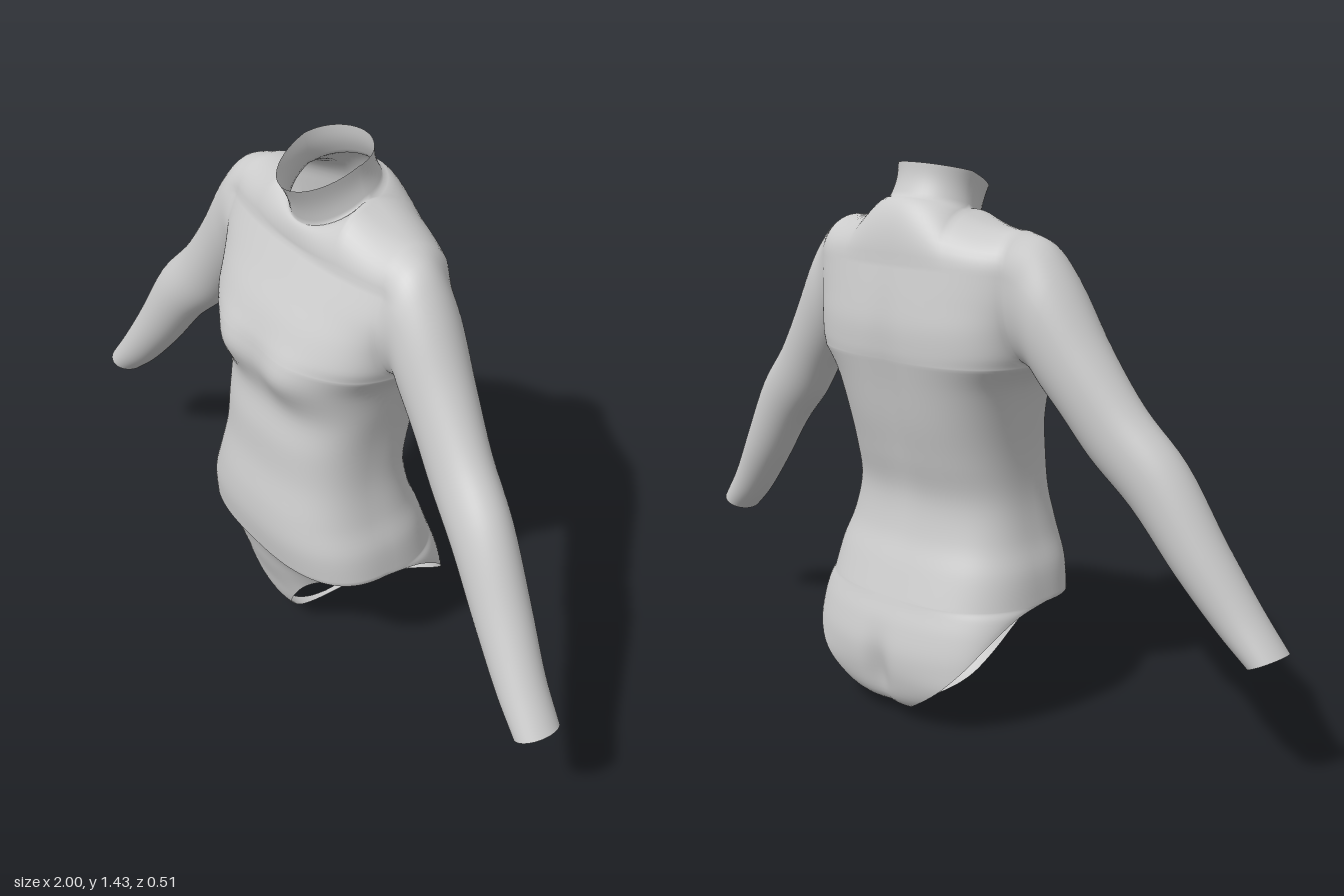
import * as THREE from 'three';
import { mergeVertices } from 'three/addons/utils/BufferGeometryUtils.js';

const U = 48; // segments across a panel
const lerp = THREE.MathUtils.lerp;

// Smooth rows through the knots of a table; passes exactly through both ends
function sample(table, per) {
  const rows = [];
  const at = i => table[Math.min(Math.max(i, 0), table.length - 1)];
  for (let i = 0; i < table.length - 1; i++) {
    for (let k = i ? 1 : 0; k <= per; k++) {
      const t = k / per, t2 = t * t, t3 = t2 * t;
      rows.push(at(i).map((b, c) => {
        const a = at(i - 1)[c], d = at(i + 1)[c], e = at(i + 2)[c];
        return b * (2 * t3 - 3 * t2 + 1) + d * (3 * t2 - 2 * t3)
          + (d - a) / 2 * (t3 - 2 * t2 + t) + (e - b) / 2 * (t3 - t2);
      }));
    }
  }
  return rows;
}

// Lower panels: y, half width, z at centre, z at edge, arc in degrees
const lowerFront = [
  [0.008, 0.008, 0, 0, 30], [0.015, 0.012, 0.06, 0.06, 30], [0.04, 0.025, 0.115, 0.112, 30],
  [0.1, 0.055, 0.165, 0.16, 30], [0.18, 0.105, 0.19, 0.18, 40], [0.25, 0.16, 0.215, 0.18, 50],
  [0.3, 0.22, 0.23, 0.165, 60], [0.33, 0.285, 0.24, 0.12, 75], [0.34, 0.33, 0.245, 0.04, 90],
];
const lowerBack = [
  [0.008, 0.008, 0, 0, 30], [0.012, 0.012, -0.08, -0.08, 30], [0.025, 0.035, -0.16, -0.155, 30],
  [0.06, 0.1, -0.225, -0.215, 40], [0.13, 0.2, -0.25, -0.23, 50], [0.2, 0.265, -0.255, -0.2, 60],
  [0.27, 0.305, -0.24, -0.14, 70], [0.32, 0.325, -0.222, -0.06, 80], [0.34, 0.33, -0.215, 0.04, 90],
];
// Trunk and yoke: y, half width, front z, front edge z, back edge z, back z, arc
const trunk = [
  [0.34, 0.33, 0.245, 0.04, 0.04, -0.215, 90], [0.42, 0.315, 0.255, 0.04, 0.04, -0.185, 90],
  [0.5, 0.285, 0.25, 0.04, 0.04, -0.155, 90], [0.6, 0.262, 0.23, 0.04, 0.04, -0.142, 90],
  [0.7, 0.258, 0.22, 0.03, 0.03, -0.165, 90], [0.8, 0.268, 0.203, 0.02, 0.02, -0.19, 90],
  [0.9, 0.288, 0.225, -0.01, -0.01, -0.21, 90], [0.96, 0.325, 0.222, -0.02, -0.02, -0.222, 90],
];
const yoke = [
  [0.96, 0.325, 0.222, -0.02, -0.02, -0.222, 90], [0.99, 0.325, 0.215, 0.055, -0.08, -0.225, 80],
  [1.05, 0.32, 0.19, 0.085, -0.115, -0.225, 70], [1.12, 0.315, 0.15, 0.09, -0.13, -0.215, 60],
  [1.2, 0.31, 0.105, 0.065, -0.13, -0.2, 55],
];
// Sleeve rings: top x, y, bottom x, y, centre z, z radius
const sleeve = [
  [0.36, 1.265, 0.345, 0.95, -0.015, 0.1], [0.42, 1.2, 0.38, 0.905, -0.01, 0.095],
  [0.52, 1.04, 0.43, 0.845, 0, 0.085], [0.62, 0.9, 0.5, 0.755, 0.015, 0.077],
  [0.73, 0.78, 0.61, 0.65, 0.035, 0.075], [0.84, 0.6, 0.73, 0.505, 0.055, 0.07],
  [0.93, 0.46, 0.84, 0.385, 0.075, 0.063], [1.0, 0.365, 0.915, 0.32, 0.085, 0.06],
];

const hill = (v, mid, size) => Math.exp(-(((v - mid) / size) ** 2));

// One row of a panel, bowed from its centre to its side edges
function panelRow([y, w, zc, ze, arc]) {
  const A = THREE.MathUtils.degToRad(arc);
  const p = lerp(1, 0.75, THREE.MathUtils.clamp((arc - 55) / 35, 0, 1));
  return Array.from({ length: U + 1 }, (_, j) => {
    const u = j * 2 / U - 1, a = Math.abs(u);
    const k = a === 1 ? 0 : ((Math.cos(a * A) - Math.cos(A)) / (1 - Math.cos(A))) ** p;
    const x = Math.sign(u) * w * (Math.sin(a * A) / Math.sin(A)) ** p;
    let z = ze + (zc - ze) * k;
    const fade = 1 - u * u;
    if (zc > 0) z += 0.02 * fade * hill(Math.abs(x), 0.12, 0.08) * hill(y, 0.91, 0.07); // bust
    else z += fade * hill(x, 0, 0.04) * (0.022 * hill(y, 0.13, 0.09) + 0.012 * hill(y, 0.85, 0.25)); // cleft, spine
    return new THREE.Vector3(x, y, z);
  });
}

// Neck loops; phi 0 is the front and pi the back
function neckPoint(phi, t) {
  const c = Math.cos(phi), front = c > 0;
  const base = [0.12, 1.33 + c * (front ? -0.07 : -0.03), -0.03 + c * (front ? 0.115 : 0.105)];
  const rim = [0.11, 1.42 + c * (front ? -0.06 : -0.022), -0.01 + c * (front ? 0.138 : 0.1)];
  const pinch = 1 - 0.05 * Math.sin(Math.PI * t);
  return new THREE.Vector3(
    lerp(base[0], rim[0], t) * Math.sin(phi) * pinch,
    lerp(base[1], rim[1], t),
    lerp(base[2], rim[2], t) - 0.006 * c * Math.sin(Math.PI * t));
}

// Top edge of a panel: half the neck base, then the shoulder seams
function topPoint(u, back) {
  const a = Math.abs(u);
  if (a <= 0.5) return neckPoint(back ? Math.PI - u * Math.PI : u * Math.PI, 0);
  const v = (a - 0.5) * 2;
  return new THREE.Vector3(Math.sign(u) * lerp(0.12, 0.29, v), 1.29 + 0.04 * (1 - v) ** 2, -0.03);
}

// Rows that roll over the shoulder from the yoke to the top edge
function shoulderRows(last, back) {
  const n = 10, rows = [];
  for (let i = 1; i <= n; i++) {
    const t = i / n, h = t * Math.PI / 2;
    rows.push(last.map((p, j) => {
      const q = topPoint(j * 2 / U - 1, back);
      return new THREE.Vector3(lerp(p.x, q.x, t), lerp(p.y, q.y, Math.sin(h)), lerp(p.z, q.z, 1 - Math.cos(h)));
    }));
  }
  return rows;
}

export function createModel() {
  const positions = [];
  const addGrid = (rows, flip) => {
    const tri = (a, b, c) => (flip ? [a, c, b] : [a, b, c]).forEach(p => positions.push(p.x, p.y, p.z));
    for (let i = 0; i < rows.length - 1; i++) {
      for (let j = 0; j < rows[i].length - 1; j++) {
        const a = rows[i][j], b = rows[i][j + 1], c = rows[i + 1][j + 1], d = rows[i + 1][j];
        tri(a, b, c);
        tri(a, c, d);
      }
    }
  };

  // Front and back panels, keeping their armhole edges
  const armhole = [false, true].map(back => {
    const pick = r => (back ? [r[0], r[1], r[5], r[4], r[6]] : [r[0], r[1], r[2], r[3], r[6]]);
    const build = (table, per) => sample(table, per).map(panelRow);
    addGrid(build(back ? lowerBack : lowerFront, 5), back);
    addGrid(build(trunk.map(pick), 5), back);
    const upper = build(yoke.map(pick), 5);
    upper.push(...shoulderRows(upper[upper.length - 1], back));
    addGrid(upper, back);
    return upper.map(row => row[U]);
  });

  // Sleeves: each armhole point runs smoothly down the arm
  const loop = [...armhole[0], ...armhole[1].reverse().slice(1)];
  const strands = loop.map(p => {
    const a = Math.atan2((p.z + 0.02) / 0.11, (p.y - 1.125) / 0.165);
    const c = Math.cos(a), s = Math.sin(a);
    const points = sleeve.map(([tx, ty, bx, by, z, r]) => new THREE.Vector3(
      (tx + bx) / 2 + (tx - bx) / 2 * c, (ty + by) / 2 + (ty - by) / 2 * c, z + r * s));
    const curve = new THREE.CatmullRomCurve3([p, ...points]);
    return Array.from({ length: 41 }, (_, i) => (i ? curve.getPoint(i / 40) : p));
  });
  const rings = strands[0].map((_, i) => strands.map(s => s[i]));
  addGrid(rings, true);
  addGrid(rings.map(r => r.map(p => new THREE.Vector3(-p.x, p.y, p.z))), false);

  // Raised collar
  addGrid(Array.from({ length: 9 }, (_, i) =>
    Array.from({ length: U + 1 }, (_, j) => neckPoint(j * 2 * Math.PI / U, i / 8))), false);

  // Weld the seams so the cloth shades as one surface
  let geometry = new THREE.BufferGeometry();
  geometry.setAttribute('position', new THREE.Float32BufferAttribute(positions, 3));
  geometry = mergeVertices(geometry, 1e-4);
  geometry.computeVertexNormals();
  const mesh = new THREE.Mesh(geometry, new THREE.MeshStandardMaterial({ color: 0xcccccc, side: THREE.DoubleSide }));
  mesh.name = 'bodysuit';
  const group = new THREE.Group();
  group.name = 'longSleevedBodysuit';
  group.add(mesh);
  return group;
}
